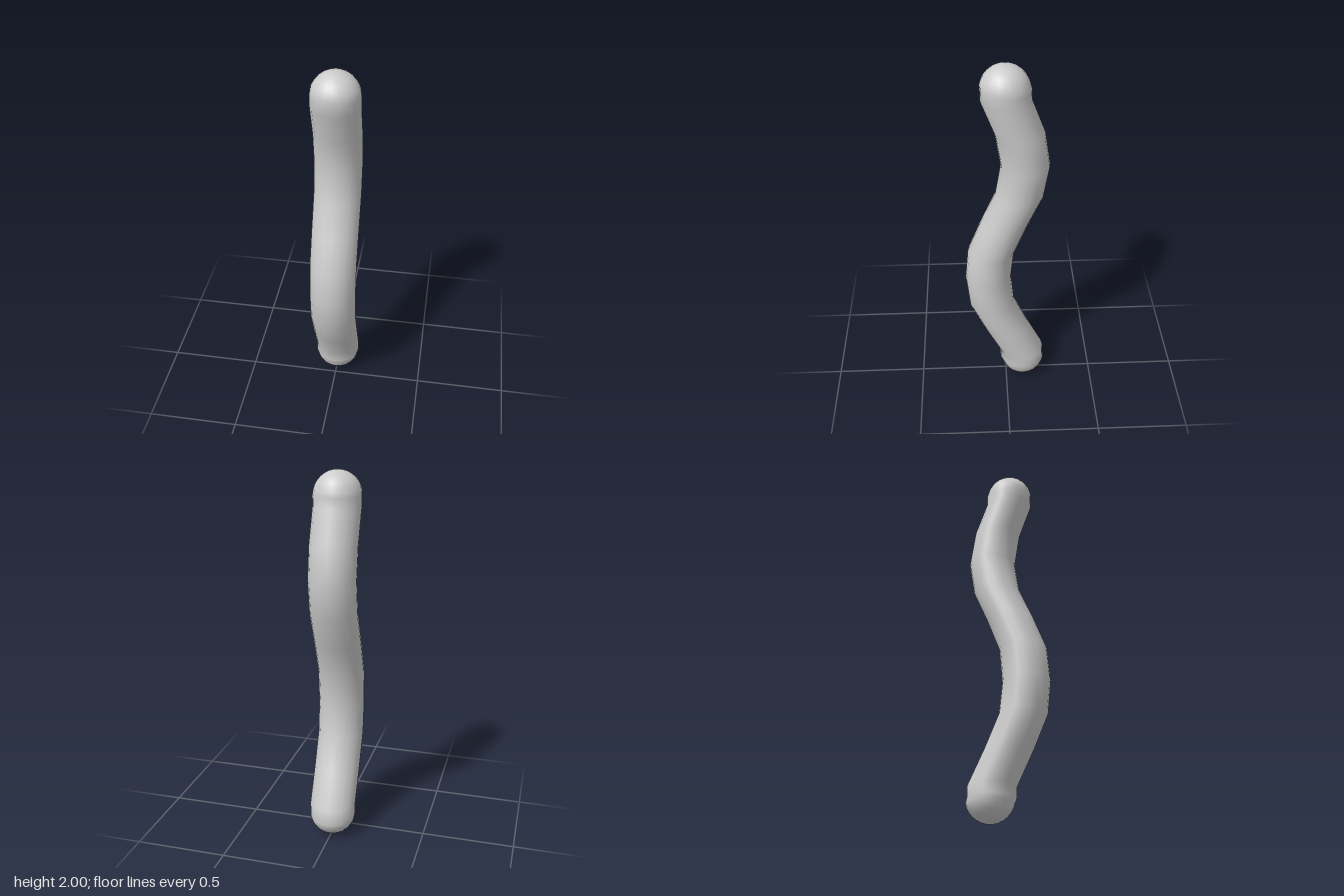
import * as THREE from 'three';
import { mergeVertices } from 'three/addons/utils/BufferGeometryUtils.js';

const R = 0.126, H = 2, SIDES = 20, CAP = 8;
const STEP = H / 11;
// z of the centreline at each level from the lower cap to the upper cap
const BEND = [-0.09, 0, 0.08, 0.098, 0.081, 0.01, -0.069, -0.098, -0.069, 0];
const LOW_Z = -0.098, HIGH_Z = 0.005;

// Centreline offset at height y; the rounded ends keep a constant offset
function bendAt(y) {
  if (y <= R) return LOW_Z;
  if (y >= H - R) return HIGH_Z;
  const i = Math.round(y / STEP) - 1;
  return BEND[Math.min(Math.max(i, 0), BEND.length - 1)];
}

export function createModel() {
  const group = new THREE.Group();
  group.name = 'wavyRod';

  // Profile: lower dome, evenly spaced body rings, upper dome
  const profile = [];
  const dome = (cy, from) => {
    for (let i = 0; i <= CAP; i++) {
      const a = from + (i / CAP) * Math.PI / 2;
      profile.push(new THREE.Vector2(Math.max(0, R * Math.cos(a)), cy + R * Math.sin(a)));
    }
  };
  dome(R, -Math.PI / 2);
  for (let i = 1; i <= BEND.length; i++) profile.push(new THREE.Vector2(R, i * STEP));
  dome(H - R, 0);

  // Slide each level ring forward or back to make the wave
  let geo = new THREE.LatheGeometry(profile, SIDES);
  const pos = geo.attributes.position;
  for (let i = 0; i < pos.count; i++) pos.setZ(i, pos.getZ(i) + bendAt(pos.getY(i)));
  geo.deleteAttribute('uv');
  geo.deleteAttribute('normal');
  geo = mergeVertices(geo, 1e-5);
  geo.computeVertexNormals();

  const rod = new THREE.Mesh(geo, new THREE.MeshStandardMaterial({ color: 0xcccccc }));
  rod.name = 'rod';
  group.add(rod);
  return group;
}
